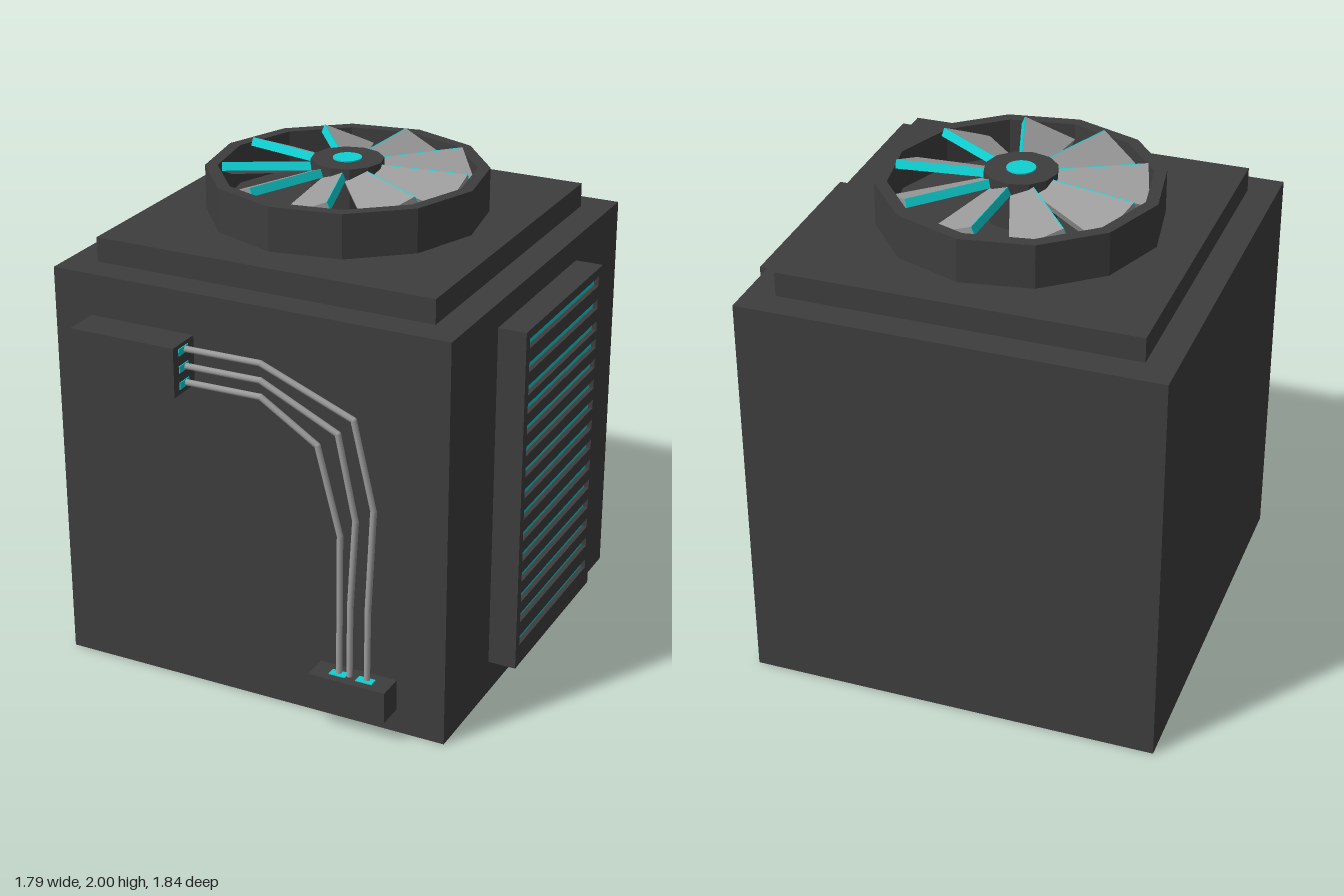
import * as THREE from 'three';

export function createModel() {
  const root = new THREE.Group();
  const dark = new THREE.MeshStandardMaterial({ name: 'darkCasing', color: 0x3e3e3e });
  const grey = new THREE.MeshStandardMaterial({ name: 'greyMetal', color: 0x9c9c9c });
  const cyan = new THREE.MeshStandardMaterial({ name: 'cyanGlow', color: 0x0fd2d4 });

  const add = (name, geometry, material, parent = root) => {
    const mesh = new THREE.Mesh(geometry, material);
    mesh.name = name;
    parent.add(mesh);
    return mesh;
  };
  // Box given by its extents on each axis
  const box = (name, [x0, x1], [y0, y1], [z0, z1], material, parent) => {
    const mesh = add(name, new THREE.BoxGeometry(x1 - x0, y1 - y0, z1 - z0), material, parent);
    mesh.position.set((x0 + x1) / 2, (y0 + y1) / 2, (z0 + z1) / 2);
    return mesh;
  };
  const flat = (geometry) => {
    const g = geometry.toNonIndexed();
    g.computeVertexNormals();
    return g;
  };
  const polygon = (pts) => new THREE.Shape(pts.map(([x, y]) => new THREE.Vector2(x, y)));
  const rect = (x0, x1, y0, y1) => [[x0, y0], [x1, y0], [x1, y1], [x0, y1]];

  // Casing and stepped lid
  box('casing', [-0.9, 0.78], [0, 1.68], [-0.92, 0.765], dark);
  box('lid', [-0.78, 0.66], [1.68, 1.78], [-0.8, 0.64], dark);

  // Fan: twelve-sided open ring with a floor, hub and tilted blades
  const fan = new THREE.Group();
  fan.name = 'fan';
  fan.position.set(-0.058, 0, -0.08);
  root.add(fan);
  const ringProfile = [[0.565, 1.78], [0.565, 1.96], [0.515, 1.96], [0.515, 1.8], [0, 1.8]]
    .map(([r, y]) => new THREE.Vector2(r, y));
  add('fanRing', flat(new THREE.LatheGeometry(ringProfile, 12, THREE.MathUtils.degToRad(24.6))), dark, fan);
  add('fanHub', flat(new THREE.CylinderGeometry(0.146, 0.146, 0.195, 12)), dark, fan).position.y = 1.8975;
  add('hubCap', new THREE.CylinderGeometry(0.058, 0.058, 0.006, 20), cyan, fan).position.y = 1.997;

  const thickness = 0.035;
  const bladeGeometry = new THREE.ExtrudeGeometry(
    polygon([[0.13, 0], [0.495, 0], [0.465, 0.215], [0.118, 0.09]]),
    { depth: thickness, bevelEnabled: false }
  ).rotateX(Math.PI / 2);
  const edgeGeometry = new THREE.BoxGeometry(0.365, thickness, 0.004).translate(0.3125, -thickness / 2, -0.002);
  for (let i = 0; i < 9; i++) {
    const arm = new THREE.Group();
    arm.name = 'fanBlade';
    arm.position.y = 1.98;
    arm.rotation.y = -THREE.MathUtils.degToRad(-7.3 + 40 * i);
    fan.add(arm);
    for (const [name, g, m] of [['blade', bladeGeometry, grey], ['bladeEdge', edgeGeometry, cyan]]) {
      add(name, g, m, arm).rotation.x = THREE.MathUtils.degToRad(22);
    }
  }

  // Side vent: slotted panel over a glowing back plate
  const panel = polygon(rect(-0.34, 0.45, 0.14, 1.58));
  const slots = [1.524, 1.426, 1.333, 1.256, 1.168, 1.078, 0.988, 0.897,
    0.807, 0.714, 0.624, 0.534, 0.443, 0.353, 0.25];
  for (const y of slots) panel.holes.push(polygon(rect(-0.305, 0.41, y - 0.02, y + 0.02)));
  const panelGeometry = new THREE.ExtrudeGeometry(panel, { depth: 0.115, bevelEnabled: false });
  panelGeometry.rotateY(Math.PI / 2).translate(0.78, 0, 0);
  add('ventPanel', panelGeometry, dark);
  box('ventGlow', [0.866, 0.875], [0.2, 1.56], [-0.43, 0.325], cyan);

  // Junction boxes on the front
  box('upperJunctionBox', [-0.738, -0.285], [1.308, 1.51], [0.765, 0.915], dark);
  box('lowerJunctionBox', [0.25, 0.577], [0.1, 0.232], [0.765, 0.875], dark);

  // Cables: straight runs with rounded joints, and a glowing port at each end
  const depths = [0.832, 0.826, 0.812, 0.806, 0.81, 0.817];
  const paths = [
    [[-0.29, 1.48], [0.035, 1.48], [0.415, 1.32], [0.495, 0.96], [0.475, 0.53], [0.475, 0.23]],
    [[-0.29, 1.41], [0.035, 1.41], [0.35, 1.25], [0.42, 0.9], [0.4, 0.53], [0.4, 0.23]],
    [[-0.29, 1.343], [0.035, 1.343], [0.265, 1.185], [0.355, 0.825], [0.355, 0.53], [0.355, 0.23]],
  ];
  const radius = 0.013;
  const up = new THREE.Vector3(0, 1, 0);
  for (const path of paths) {
    const cable = new THREE.Group();
    cable.name = 'cable';
    root.add(cable);
    const pts = path.map(([x, y], i) => new THREE.Vector3(x, y, depths[i]));
    for (let i = 0; i < pts.length - 1; i++) {
      const dir = pts[i + 1].clone().sub(pts[i]);
      const run = add('cableRun', new THREE.CylinderGeometry(radius, radius, dir.length(), 8, 1, true), grey, cable);
      run.position.copy(pts[i]).addScaledVector(dir, 0.5);
      run.quaternion.setFromUnitVectors(up, dir.normalize());
      if (i > 0) add('cableJoint', new THREE.SphereGeometry(radius, 8, 6), grey, cable).position.copy(pts[i]);
    }
    const y = path[0][1];
    box('upperPort', [-0.286, -0.281], [y - 0.014, y + 0.014], [0.81, 0.877], cyan);
  }
  for (const x of [0.357, 0.472]) box('lowerPort', [x - 0.035, x + 0.035], [0.231, 0.236], [0.805, 0.842], cyan);

  return root;
}
